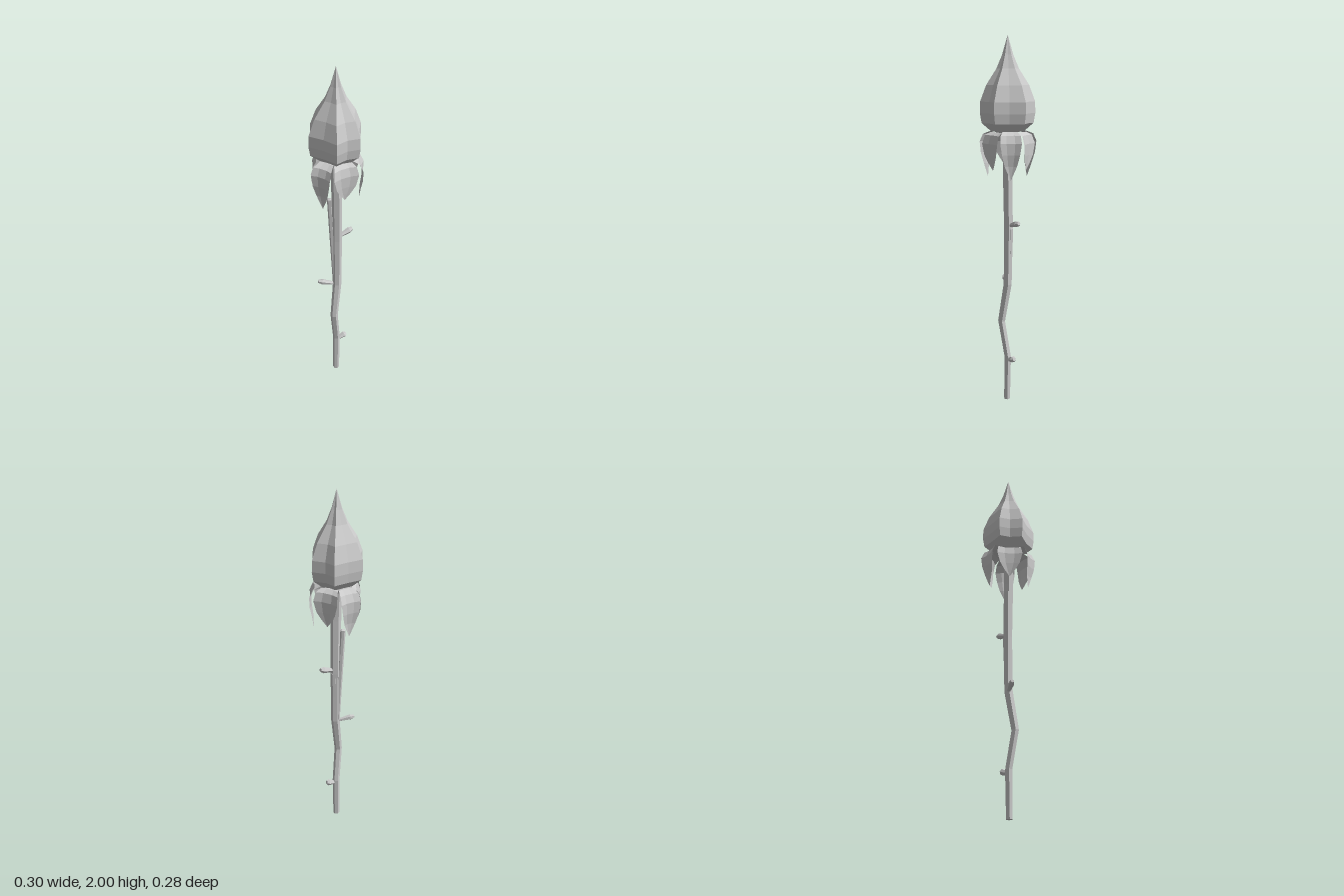
import * as THREE from 'three';

const material = new THREE.MeshStandardMaterial({ color: 0xcccccc, flatShading: true });
const leafMaterial = new THREE.MeshStandardMaterial({ color: 0xcccccc, flatShading: true, side: THREE.DoubleSide });

// Skin rows of points, listed bottom to top and left to right seen from outside
function loft(rows, closed) {
  const n = rows[0].length;
  const index = [];
  for (let i = 0; i < rows.length - 1; i++) {
    for (let j = 0; j < (closed ? n : n - 1); j++) {
      const k = (j + 1) % n;
      const a = i * n + j, b = i * n + k, c = b + n, d = a + n;
      index.push(a, b, c, a, c, d);
    }
  }
  const g = new THREE.BufferGeometry();
  g.setAttribute('position', new THREE.Float32BufferAttribute(rows.flat(2), 3));
  g.setIndex(index);
  const flat = g.toNonIndexed();
  flat.computeVertexNormals();
  return flat;
}

function addMesh(group, name, geometry, mat = material) {
  const mesh = new THREE.Mesh(geometry, mat);
  mesh.name = name;
  group.add(mesh);
  return mesh;
}

// Horizontal six-sided rings along a path of [x, y, z, radius]
function tubeRows(path) {
  return path.map(([x, y, z, r]) => Array.from({ length: 6 }, (_, i) => {
    const a = (i / 6) * Math.PI * 2;
    return [x + r * Math.sin(a), y, z + r * Math.cos(a)];
  }));
}

// Ribbed bud: six sharp ribs with shallow valleys between them
function budGeometry() {
  const half = [
    [0, 0.124], [0.066, 0.137], [0.1, 0.064], [0.148, -0.004],
    [0.1, -0.056], [0.082, -0.115],
  ];
  const outline = [...half, [0, -0.112], ...half.slice(1).reverse().map(([x, z]) => [-x, z])];
  const profile = [
    [1.515, 0], [1.498, 0.3], [1.505, 0.6], [1.548, 0.94], [1.6, 1], [1.66, 0.99],
    [1.745, 0.77], [1.83, 0.4], [1.9, 0.2], [2, 0],
  ];
  return loft(profile.map(([y, s]) => outline.map(([x, z]) => [x * s, y, 0.005 + (z - 0.005) * s])), true);
}

// Drooping sepal from sections of [distance out, height, half width]
function sepalGeometry(sections) {
  const rows = sections.map(([r, y, w]) => [
    [-w, y, r], [-w * 0.4, y, r - w * 0.17], [w * 0.4, y, r - w * 0.17], [w, y, r],
  ]);
  return loft(rows.reverse(), false);
}

// Stubby thorn, swollen towards its tip, running between two points
function thornGeometry(from, to, r) {
  const a = new THREE.Vector3(...from), dir = new THREE.Vector3(...to).sub(a);
  const L = dir.length();
  const points = [[0, -0.012], [0.6 * r, 0], [0.8 * r, L * 0.4], [r, L * 0.75], [0.6 * r, L], [0, L]];
  const g = new THREE.LatheGeometry(points.map((p) => new THREE.Vector2(...p)), 6);
  g.applyQuaternion(new THREE.Quaternion().setFromUnitVectors(new THREE.Vector3(0, 1, 0), dir.normalize()));
  return g.translate(a.x, a.y, a.z);
}

export function createModel() {
  const group = new THREE.Group();
  group.name = 'flowerBud';

  // Crooked stem with closed ends
  addMesh(group, 'stem', loft(tubeRows([
    [0, 0, 0.01, 0], [0, 0, 0.01, 0.018], [0.003, 0.25, 0.008, 0.02], [-0.024, 0.455, 0.03, 0.021],
    [0.006, 0.67, 0.01, 0.024], [0.008, 0.98, 0.006, 0.026], [0.003, 1.3, 0.008, 0.028],
    [0, 1.46, 0.006, 0.03], [0, 1.51, 0.005, 0.05], [0, 1.51, 0.005, 0],
  ]), true));

  // Slim sheaths peeling off the stem
  const sheaths = [
    [[-0.003, 0.68, 0.0, 0.012], [-0.015, 1.0, -0.01, 0.014], [-0.025, 1.24, -0.018, 0.014], [-0.02, 1.245, -0.015, 0]],
    [[0.01, 0.66, 0.005, 0.014], [0.022, 0.98, 0.0, 0.014], [0.018, 0.99, 0.0, 0]],
  ];
  for (const path of sheaths) addMesh(group, 'sheath', loft(tubeRows(path), true));

  // Thorns
  addMesh(group, 'upperThorn', thornGeometry([0.025, 1.0, 0.006], [0.1, 1.022, 0.004], 0.017));
  addMesh(group, 'middleThorn', thornGeometry([-0.01, 0.67, 0], [-0.09, 0.69, -0.035], 0.016));
  addMesh(group, 'lowerThorn', thornGeometry([0.015, 0.235, 0.008], [0.066, 0.252, 0.008], 0.018));

  addMesh(group, 'bud', budGeometry());

  // Six sepals: long outer ones alternate with short inner ones
  const longSepal = sepalGeometry([
    [0.03, 1.495, 0.02], [0.085, 1.506, 0.04], [0.125, 1.49, 0.052], [0.143, 1.45, 0.056],
    [0.141, 1.39, 0.047], [0.13, 1.33, 0.032], [0.122, 1.255, 0],
  ]);
  const shortSepal = sepalGeometry([
    [0.03, 1.49, 0.025], [0.08, 1.5, 0.05], [0.108, 1.485, 0.063], [0.122, 1.44, 0.07],
    [0.118, 1.38, 0.054], [0.11, 1.34, 0.03], [0.1, 1.3, 0],
  ]);
  for (let i = 0; i < 6; i++) {
    const long = i % 2 === 1;
    const sepal = addMesh(group, long ? 'longSepal' : 'shortSepal', long ? longSepal : shortSepal, leafMaterial);
    sepal.rotation.y = (i * Math.PI) / 3;
  }
  return group;
}
